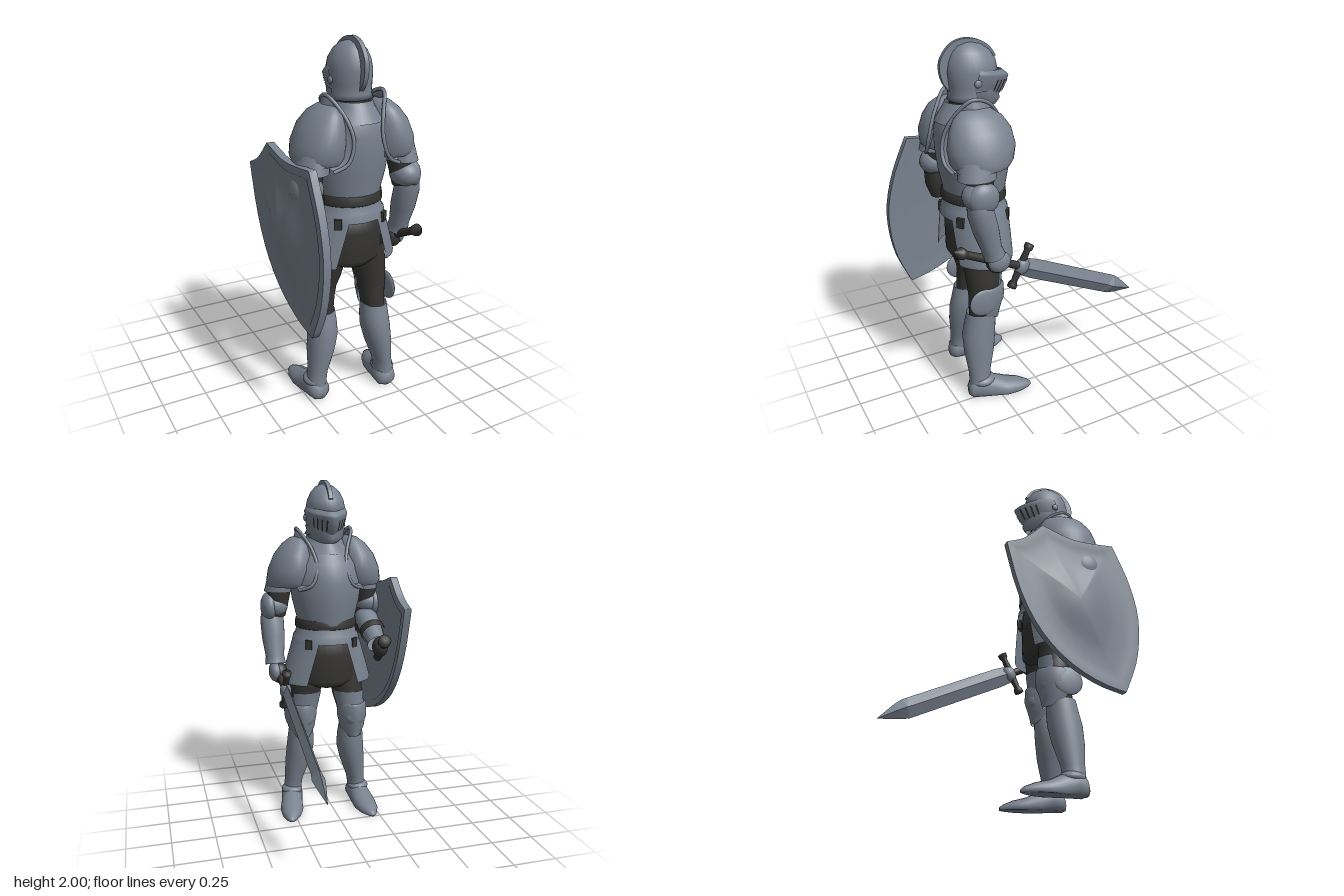
import * as THREE from 'three';

const V = (x, y, z) => new THREE.Vector3(x, y, z);
const mat = (name, color) => {
  const m = new THREE.MeshStandardMaterial({ color, side: THREE.DoubleSide });
  m.name = name;
  return m;
};

// Skin over rows of points
function skin(rows, closed) {
  const n = rows[0].length, pos = [], idx = [];
  rows.forEach(r => r.forEach(p => pos.push(p.x, p.y, p.z)));
  for (let j = 0; j < rows.length - 1; j++)
    for (let i = 0; i < (closed ? n : n - 1); i++) {
      const a = j * n + i, b = j * n + (i + 1) % n;
      idx.push(a, a + n, b + n, a, b + n, b);
    }
  const g = new THREE.BufferGeometry();
  g.setAttribute('position', new THREE.Float32BufferAttribute(pos, 3));
  g.setIndex(idx);
  g.computeVertexNormals();
  return g;
}

// Loft of ellipses [y, cx, cz, rx, rz, from, to]; angle 0 faces forward (-z)
function loft(secs, { n = 32, from, to, keel = 0, pow = 1, caps = false } = {}) {
  const closed = from === undefined && secs[0][5] === undefined;
  const bend = v => Math.sign(v) * Math.abs(v) ** pow;
  const rows = secs.map(([y, cx, cz, rx, rz, f = from, t = to]) =>
    Array.from({ length: closed ? n : n + 1 }, (_, i) => {
      const a = closed ? i / n * Math.PI * 2 : f + (t - f) * i / n;
      const c = Math.cos(a);
      return V(cx + rx * bend(Math.sin(a)), y, cz - rz * bend(c) - keel * Math.max(c, 0) ** 10);
    }));
  if (caps) [0, rows.length - 1].forEach((k, e) => {
    const [y, cx, cz] = secs[k], row = rows[e ? rows.length - 1 : 0].map(() => V(cx, y, cz));
    e ? rows.push(row) : rows.unshift(row);
  });
  return skin(rows, closed);
}

export function createModel() {
  const steel = mat('steel', 0x78828f), dark = mat('dark leather', 0x363534);
  const root = new THREE.Group();
  root.name = 'armouredKnight';
  const body = new THREE.Group();
  body.name = 'body';
  body.position.x = 0.018;
  root.add(body);
  const add = (parent, name, geo, m = steel) => {
    const mesh = new THREE.Mesh(geo, m);
    mesh.name = name;
    parent.add(mesh);
    return mesh;
  };
  const ball = (parent, name, p, s, m = steel) => {
    const b = add(parent, name, new THREE.SphereGeometry(1, 24, 16), m);
    b.position.set(...p);
    b.scale.set(...s);
    return b;
  };
  // Turned limb from a to b; profile is [radius, fraction]
  const limb = (parent, name, a, b, prof, m = steel) => {
    const d = b.clone().sub(a), L = d.length();
    const g = new THREE.LatheGeometry(prof.map(([r, t]) => new THREE.Vector2(r, t * L)), 24);
    const l = add(parent, name, g, m);
    l.position.copy(a);
    l.quaternion.setFromUnitVectors(V(0, 1, 0), d.normalize());
    return l;
  };

  // Torso
  add(body, 'breastplate', loft([[1.16, 0, .27, .17, .16], [1.22, 0, .268, .176, .167], [1.32, 0, .27, .2, .185],
    [1.43, 0, .272, .215, .195], [1.53, 0, .285, .21, .185], [1.6, 0, .3, .165, .155], [1.645, 0, .305, .115, .125]], { keel: .012, n: 48 }));
  add(body, 'gorget', loft([[1.59, 0, .3, .165, .165], [1.64, 0, .305, .12, .135], [1.66, 0, .305, .11, .12], [1.69, 0, .305, .1, .105]], { keel: .02 }));
  add(body, 'neck', loft([[1.64, 0, .3, .085, .09], [1.76, 0, .29, .085, .09]]), dark);
  add(body, 'belt', loft([[1.155, 0, .27, .176, .168], [1.16, 0, .27, .184, .176], [1.205, 0, .27, .181, .174], [1.21, 0, .27, .172, .164]]), dark);
  add(body, 'fauld', loft([[1.07, 0, .27, .205, .185], [1.11, 0, .27, .195, .18], [1.115, 0, .27, .186, .174], [1.155, 0, .27, .176, .166]]));
  add(body, 'breeches', loft([[.8, 0, .27, .12, .13], [.84, 0, .27, .2, .155], [1.0, 0, .27, .185, .16], [1.1, 0, .27, .17, .155]], { caps: true }), dark);

  // Helmet
  const helmet = new THREE.Group();
  helmet.name = 'helmet';
  body.add(helmet);
  add(helmet, 'skull', loft([[1.695, 0, .285, .118, .112], [1.72, 0, .285, .104, .105], [1.77, 0, .275, .11, .12], [1.84, 0, .265, .113, .138],
    [1.89, 0, .265, .103, .128], [1.935, 0, .27, .08, .102], [1.965, 0, .275, .05, .065], [1.978, 0, .28, .015, .02]], { caps: true }));
  add(helmet, 'chinGuard', loft([[1.65, 0, .23, .055, .08], [1.68, 0, .255, .1, .125], [1.75, 0, .275, .115, .14]], { from: -1.7, to: 1.7, keel: .02 }));

  // Visor, tipped down about its hinge
  const visor = new THREE.Group();
  visor.name = 'visor';
  visor.position.set(0, 1.79, .28);
  visor.rotation.x = -.17;
  helmet.add(visor);
  add(visor, 'visorPlate', loft([[-.08, 0, .01, .085, .15], [-.03, 0, .005, .11, .175], [.04, 0, 0, .122, .19], [.052, 0, -.005, .118, .17], [.07, 0, -.015, .105, .13]],
    { from: -1.6, to: 1.6, keel: .03 }));
  for (const s of [-1, 1]) {
    for (const a of [.3, .5, .7, .9])
      add(visor, 'visorSlit', loft([[-.045, 0, .006, .107, .173], [-.03, 0, .005, .113, .179], [.025, 0, .001, .123, .192]],
        { from: s * a - .035, to: s * a + .035, keel: .03, n: 2 }), dark);
    ball(visor, 'visorPivot', [s * .116, 0, 0], [.01, .02, .02]);
  }
  const fin = new THREE.Shape();
  fin.moveTo(.13, 1.9);
  fin.splineThru([[.165, 1.95], [.22, 1.985], [.295, 2], [.37, 1.98], [.425, 1.92], [.44, 1.86], [.425, 1.79], [.385, 1.735]].map(p => new THREE.Vector2(...p)));
  fin.lineTo(.3, 1.8);
  const crest = new THREE.ExtrudeGeometry(fin, { depth: .024, bevelEnabled: false, curveSegments: 32 });
  add(helmet, 'crest', crest.translate(0, 0, -.012).rotateY(-Math.PI / 2));

  // Parts on both sides
  for (const s of [-1, 1]) {
    const half = new THREE.Group();
    half.name = s > 0 ? 'leftHalf' : 'rightHalf';
    half.scale.x = s;
    body.add(half);

    // Skirt plate with gaps in front and back
    add(half, 'tasset', loft([[.825, 0, .27, .27, .192, .6, 2.54], [.84, 0, .27, .271, .194, .59, 2.55], [.95, 0, .27, .24, .19, .52, 2.62],
      [1.075, 0, .27, .203, .183, .42, 2.72]]));
    for (const z of [.137, .408]) {
      const b = add(half, 'buckle', new THREE.BoxGeometry(.04, .055, .025), dark);
      b.position.set(.135, 1.07, z);
      b.rotation.y = z < .2 ? -.6 : .6;
    }

    // Shoulder
    add(half, 'pauldron', loft([[1.4, .205, .315, .13, .15], [1.43, .205, .312, .138, .17], [1.5, .198, .308, .133, .182], [1.58, .182, .306, .114, .165],
      [1.64, .165, .31, .082, .13], [1.675, .155, .315, .045, .08], [1.685, .15, .315, .01, .02]], { pow: 1.04 }));
    const rim = new THREE.CatmullRomCurve3([V(.19, 1.37, .46), V(.12, 1.41, .48), V(.085, 1.51, .472), V(.105, 1.62, .43), V(.16, 1.725, .34),
      V(.15, 1.705, .25), V(.105, 1.62, .17), V(.085, 1.51, .118), V(.12, 1.42, .105), V(.19, 1.39, .14)]);
    const edge = rim.getPoints(48), hub = V(.24, 1.48, .3);
    add(half, 'pauldronFlange', skin([edge, edge.map(p => p.clone().lerp(hub, .18)), edge.map(p => p.clone().lerp(hub, .4))], false));
    add(half, 'pauldronRim', new THREE.TubeGeometry(rim, 48, .01, 8));
    for (let k = 0; k < 3; k++)
      add(half, 'shoulderLame', loft([[1.36 + k * .04, .264 - k * .01, .367 - k * .014, .086 + k * .002, .103 + k * .01],
        [1.42 + k * .04, .254 - k * .01, .358 - k * .014, .08 + k * .002, .098 + k * .01]]));

    // Upper arm and elbow
    limb(half, 'upperArm', V(.255, 1.46, .34), V(.285, 1.22, .365), [[.075, 0], [.07, .5], [.06, 1]], dark);
    ball(half, 'elbowGuard', [.29, 1.275, .37], [.08, .075, .09]);
    ball(half, 'elbowWing', [.325, 1.27, .36], [.05, .085, .085]);

    // Leg, the right one a little forward
    const dz = s < 0 ? -.055 : 0;
    add(half, 'thigh', loft([[.48, .15, .31 + dz, .062, .07], [.6, .145, .295 + dz, .074, .08], [.66, .14, .29 + dz, .082, .088],
      [.72, .132, .285 + dz * .7, .092, .098], [.9, .11, .275, .1, .12]]), dark);
    add(half, 'thighPlate', loft([[.6, .148, .29 + dz, .083, .09], [.76, .13, .283 + dz * .6, .1, .108]], { from: -1.3, to: 1 }));
    add(half, 'kneePlate', loft([[.47, .152, .28 + dz, .06, .065, -.6, .8], [.52, .152, .3 + dz, .08, .095, -1.3, 1.7], [.6, .152, .295 + dz, .092, .115, -1.5, 2.2],
      [.67, .15, .29 + dz, .093, .107, -1.5, 2.2], [.685, .147, .29 + dz, .084, .098, -1.5, 2]], { keel: .01 }));
    ball(half, 'kneeCap', [.15, .6, .225 + dz], [.062, .065, .05]);
    ball(half, 'kneeWing', [.228, .61, .325 + dz], [.018, .08, .085]);
    add(half, 'greave', loft([[.06, .207, .35 + dz, .06, .065], [.1, .203, .35 + dz, .055, .062], [.16, .195, .348 + dz, .055, .065],
      [.28, .172, .338 + dz, .075, .088], [.38, .155, .33 + dz, .083, .096], [.45, .152, .32 + dz, .08, .09], [.52, .152, .312 + dz, .072, .082]]));

    // Armoured shoe with a flat sole
    const shoe = loft([[-.072, 0, .035, .03, .03], [-.053, 0, .045, .058, .055], [0, 0, .055, .066, .075], [.07, 0, .035, .064, .076],
      [.15, 0, .02, .07, .054], [.225, 0, .015, .056, .04], [.28, 0, .01, .028, .022], [.297, 0, .008, .01, .01]], { caps: true }).rotateX(-Math.PI / 2);
    const p = shoe.attributes.position;
    for (let i = 0; i < p.count; i++) p.setY(i, Math.max(0, p.getY(i)));
    shoe.computeVertexNormals();
    const foot = add(half, 'shoe', shoe);
    foot.position.set(.207, 0, .348 + dz);
    foot.rotation.y = s < 0 ? -.06 : -.22;
    ball(half, 'ankleGuard', [.21, .095, .335 + dz], [.064, .035, .072]);
  }

  // Sword arm
  const cuff = [[.058, 0], [.07, .15], [.068, .5], [.055, .85], [.062, 1]];
  limb(root, 'leftForearm', V(.325, 1.24, .385), V(.322, .93, .3), cuff);
  ball(root, 'leftHand', [.305, .88, .275], [.052, .064, .058], dark);
  ball(root, 'leftHandPlate', [.332, .89, .272], [.036, .06, .064]);

  // Shield arm
  limb(root, 'rightForearm', V(-.255, 1.2, .37), V(-.268, 1.05, .14), cuff);
  limb(root, 'rightSleeve', V(-.25, 1.24, .385), V(-.255, 1.08, .36), [[.06, 0], [.068, .5], [.05, 1]], dark);
  ball(root, 'rightHand', [-.27, 1.04, .1], [.046, .06, .055], dark);
  limb(root, 'armStrap', V(-.262, 1.125, .24), V(-.264, 1.1, .2), [[.074, 0], [.076, .5], [.073, 1]], dark);
  limb(root, 'shieldGrip', V(-.275, .96, .16), V(-.275, 1.1, .02), [[0, 0], [.024, 0], [.024, .8], [.036, .82], [.036, 1], [0, 1]], dark);

  // Sword, pointing along its own y
  const sword = new THREE.Group();
  sword.name = 'sword';
  sword.position.set(.3, .815, .13);
  const dir = V(-.045, -.375, -.785), len = dir.length();
  dir.normalize();
  const across = V(1, 0, 0).addScaledVector(dir, -dir.x).normalize();
  sword.quaternion.setFromRotationMatrix(new THREE.Matrix4().makeBasis(across, dir, across.clone().cross(dir)));
  root.add(sword);
  const blade = loft([[0, 0, 0, .024, .05], [.1, 0, 0, .026, .058], [.66, 0, 0, .028, .058], [.7, 0, 0, .036, .058], [.75, 0, 0, .028, .046], [len, 0, 0, .001, .001]], { n: 4 }).toNonIndexed();
  blade.computeVertexNormals();
  add(sword, 'blade', blade);
  limb(sword, 'grip', V(0, -.37, 0), V(0, 0, 0), [[.021, 0], [.024, .5], [.021, 1]], dark);
  limb(sword, 'pommel', V(0, -.44, 0), V(0, -.35, 0), [[0, 0], [.034, .45], [.03, .7], [.018, 1]], dark);
  limb(sword, 'guard', V(0, 0, -.135), V(0, 0, .135), [[0, 0], [.026, .02], [.026, .1], [.017, .16], [.022, .5], [.017, .84], [.026, .9], [.026, .98], [0, 1]], dark);
  ball(sword, 'guardBoss', [0, .01, 0], [.034, .04, .05]);

  // Shield: outline in z and y, flat with a boss on the outer face
  const side = [[.52, 1.42], [.615, 1.2], [.658, .98], [.63, .74], [.545, .535]];
  const lower = [[.545, .535], [.38, .575], [.2, .67], [.05, .82], [-.06, 1.03], [-.135, 1.3]];
  const top1 = [[-.135, 1.3], [-.03, 1.35], [.08, 1.455]], top2 = [[.08, 1.455], [.28, 1.405], [.52, 1.42]];
  const outline = [side, lower, top1, top2].flatMap(c =>
    new THREE.SplineCurve(c.map(q => new THREE.Vector2(...q))).getPoints(14).slice(0, -1));
  const ring = (t, off) => outline.map(o => {
    const z = .28 + (o.x - .28) * t, y = 1.02 + (o.y - 1.02) * t;
    return V(-.33 + .05 * (z + .135) - off, y, z);
  });
  const boss = t => .021 * (1 + Math.cos(Math.PI * Math.min(1, t / .75)));
  const steps = [0, .1, .2, .3, .4, .5, .6, .75, .88, .89, 1];
  const rows = [...steps.map(t => ring(t, (t > .885 ? 0 : .005) + boss(t) * .3)), ring(1, 0), ring(1, .042),
    ...steps.slice().reverse().map(t => ring(t, (t > .885 ? .042 : .038) + boss(t)))];
  add(root, 'shield', skin(rows, true));
  return root;
}
